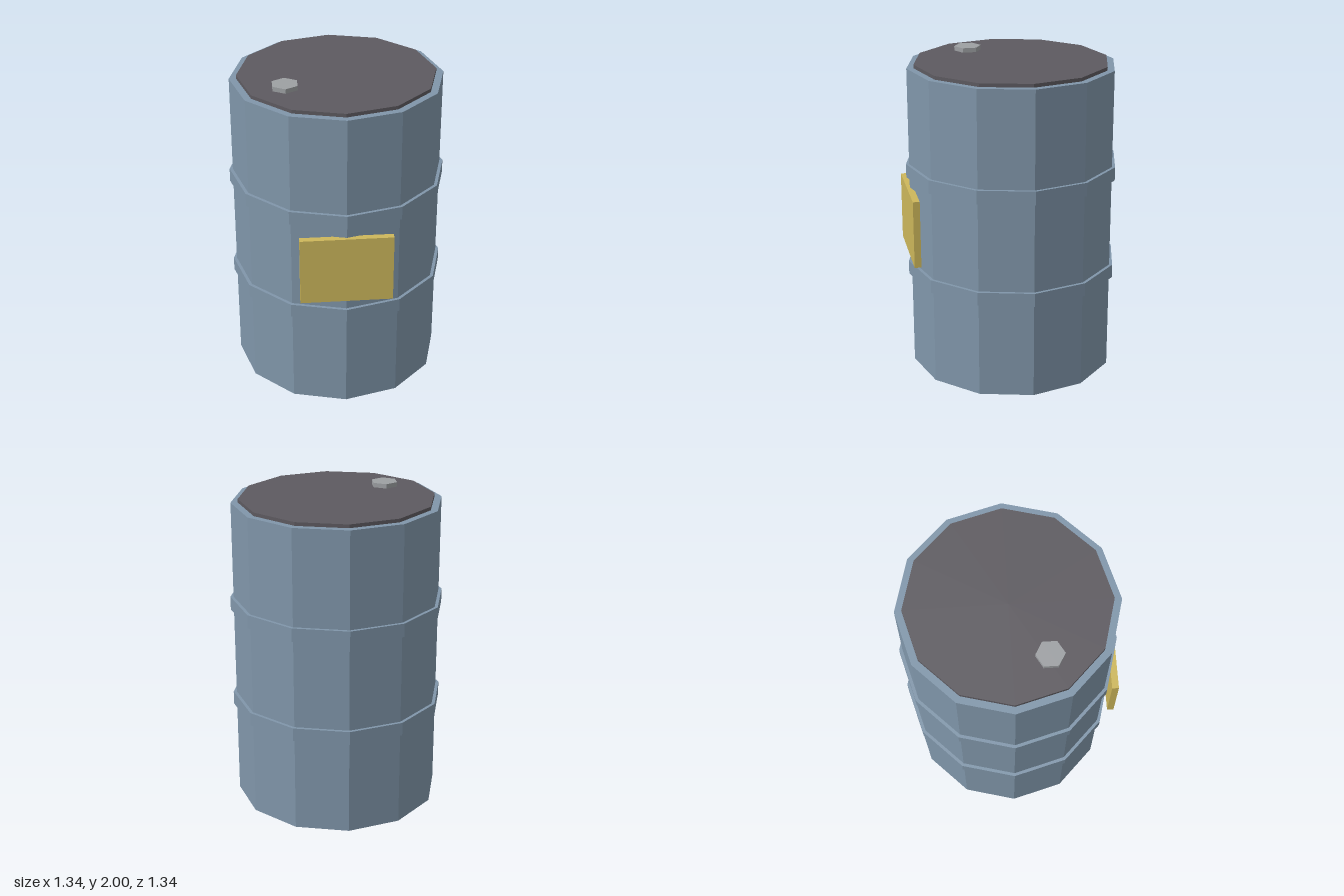
import * as THREE from 'three';

const SIDES = 12;

function flat(name, color) {
  const m = new THREE.MeshStandardMaterial({ color, flatShading: true });
  m.name = name;
  return m;
}

export function createModel() {
  const steel = flat('blue grey steel', 0x8096aa);
  const dark = flat('dark lid', 0x5d5a60);
  const metal = flat('light metal', 0x9da0a3);
  const yellow = flat('yellow label', 0xcdb75b);

  const model = new THREE.Group();
  model.name = 'barrel';

  // Upright faceted disc or drum between two heights
  function drum(name, radius, y0, y1, material, sides = SIDES, x = 0, z = 0) {
    const mesh = new THREE.Mesh(new THREE.CylinderGeometry(radius, radius, y1 - y0, sides), material);
    mesh.position.set(x, (y0 + y1) / 2, z);
    mesh.name = name;
    model.add(mesh);
  }

  // Barrel body, hoops and lid
  drum('body', 0.65, 0, 1.95, steel);
  drum('lowerHoop', 0.67, 0.61, 0.695, steel);
  drum('upperHoop', 0.67, 1.26, 1.345, steel);
  drum('lid', 0.606, 1.93, 1.972, dark);

  // Hexagonal filler cap
  drum('fillerCap', 0.085, 1.96, 2, metal, 6, -0.325, 0.215);

  // Front label plate
  const label = new THREE.Mesh(new THREE.BoxGeometry(0.56, 0.43, 0.042), yellow);
  label.position.set(0, 0.977, 0.649);
  label.name = 'label';
  model.add(label);

  return model;
}
